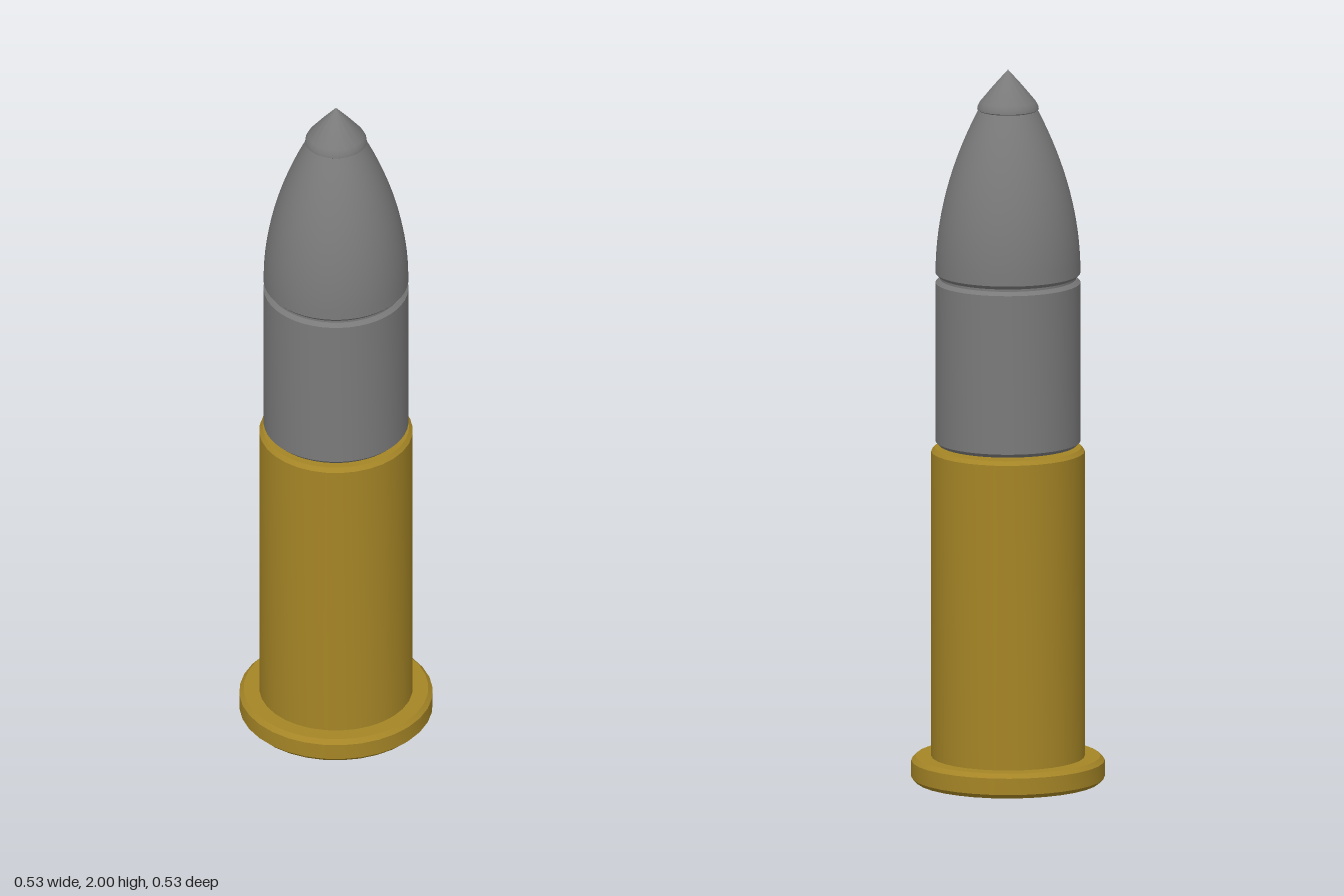
import * as THREE from 'three';
import { toCreasedNormals } from 'three/addons/utils/BufferGeometryUtils.js';

export function createModel() {
  const model = new THREE.Group();
  model.name = 'cartridge';

  const brass = new THREE.MeshStandardMaterial({ color: 0xa58526 });
  brass.name = 'brass';
  const lead = new THREE.MeshStandardMaterial({ color: 0x7a7a7a });
  lead.name = 'lead grey';

  // Turns a bottom-to-top [radius, height] profile, keeping chamfer edges sharp
  function turn(name, profile, material, crease = 0.5, sides = 32) {
    const points = profile.map(([r, y]) => new THREE.Vector2(r, y));
    const geometry = toCreasedNormals(new THREE.LatheGeometry(points, sides), crease);
    const mesh = new THREE.Mesh(geometry, material);
    mesh.name = name;
    model.add(mesh);
  }

  // Rim with a ring groove around the primer
  turn('rim', [
    [0, 0], [0.165, 0], [0.165, 0.037], [0.225, 0.037], [0.225, 0],
    [0.255, 0], [0.267, 0.012], [0.267, 0.058], [0.255, 0.07], [0.2, 0.07],
  ], brass);

  // Straight case with a chamfered mouth
  turn('case', [
    [0.212, 0.068], [0.212, 0.927], [0.202, 0.938], [0, 0.938],
  ], brass);

  // Narrow neck in the gap under the bullet
  turn('neck', [[0.15, 0.93], [0.15, 0.955]], brass);

  // Cylindrical bullet body
  turn('bulletBody', [
    [0, 0.946], [0.19, 0.946], [0.2, 0.956], [0.2, 1.402], [0.19, 1.412], [0, 1.412],
  ], lead, 0.5, 48);

  // Groove between body and nose
  turn('bulletGroove', [[0.188, 1.405], [0.188, 1.43]], lead, 0.5, 48);

  // Curved nose
  const nose = [[0, 1.419], [0.19, 1.419], [0.2, 1.429]];
  for (let i = 1; i <= 16; i++) {
    const t = i / 16;
    nose.push([0.2 - 0.118 * t * t, 1.429 + 0.457 * t]);
  }
  nose.push([0, 1.886]);
  turn('bulletNose', nose, lead, 0.5, 48);

  // Pointed tip with a small rounded shoulder
  turn('bulletTip', [
    [0, 1.884], [0.078, 1.884], [0.085, 1.889], [0.084, 1.897], [0.077, 1.91], [0.04, 1.955], [0, 2],
  ], lead, 0.6, 48);

  return model;
}
